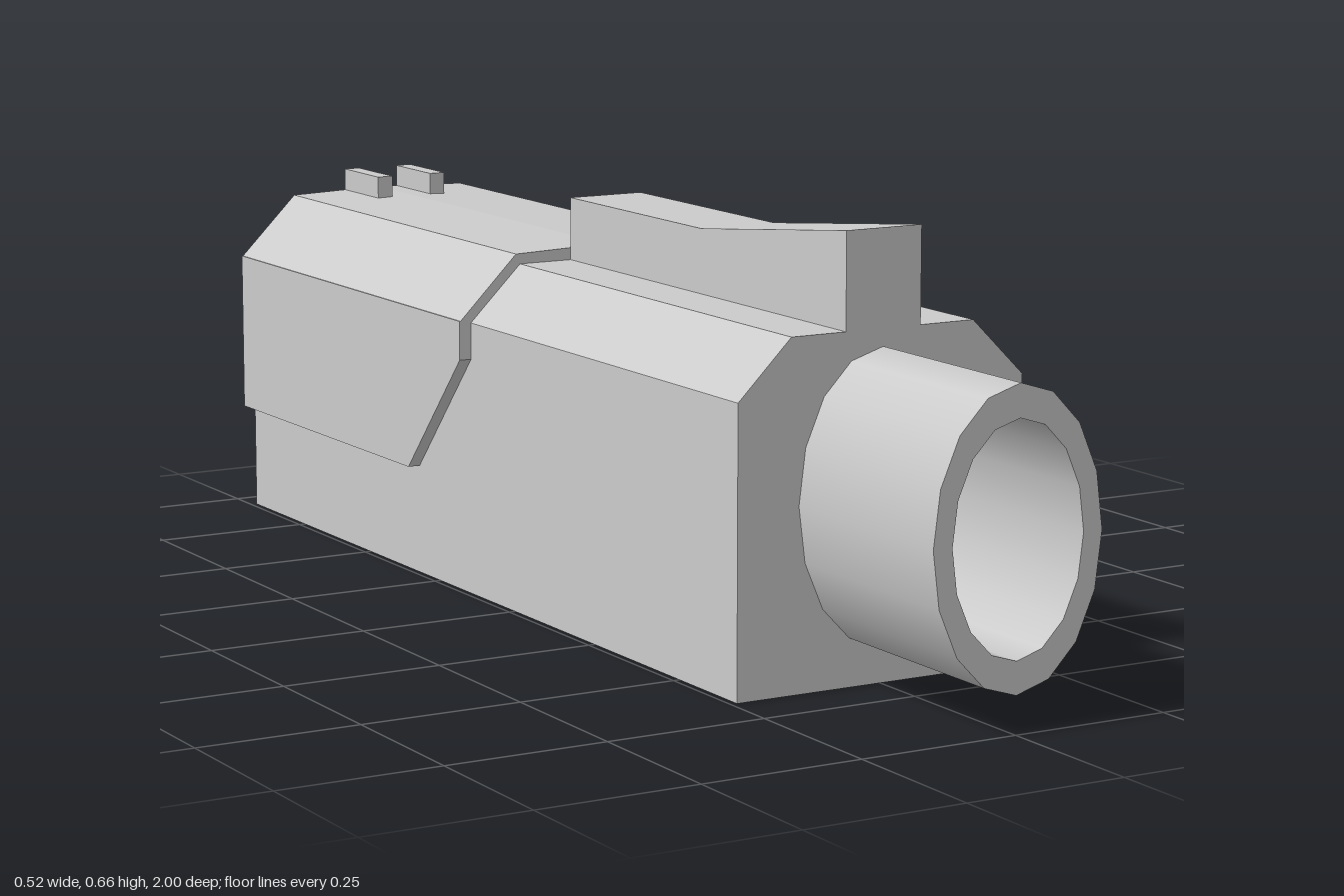
import * as THREE from 'three';

const material = new THREE.MeshStandardMaterial({ color: 0xcccccc, flatShading: true });
const smooth = new THREE.MeshStandardMaterial({ color: 0xcccccc });
const BACK = -0.943;

function addMesh(parent, name, geometry, mat = material) {
  const mesh = new THREE.Mesh(geometry, mat);
  mesh.name = name;
  parent.add(mesh);
  return mesh;
}

const shapeOf = (points) => new THREE.Shape(points.map(([x, y]) => new THREE.Vector2(x, y)));

// Extrudes an (x, y) outline from z0 to z1.
function extrudeZ(shape, z0, z1) {
  const geometry = new THREE.ExtrudeGeometry(shape, { depth: z1 - z0, bevelEnabled: false });
  return geometry.translate(0, 0, z0);
}

// Extrudes a (z, y) outline from x0 to x1.
function extrudeX(points, x0, x1) {
  const shape = shapeOf(points.map(([z, y]) => [-z, y]));
  const geometry = new THREE.ExtrudeGeometry(shape, { depth: x1 - x0, bevelEnabled: false });
  return geometry.rotateY(Math.PI / 2).translate(x0, 0, 0);
}

function box(x0, x1, y0, y1, z0, z1) {
  return new THREE.BoxGeometry(x1 - x0, y1 - y0, z1 - z0)
    .translate((x0 + x1) / 2, (y0 + y1) / 2, (z0 + z1) / 2);
}

// Mirrors a half outline (x > 0) into a full one.
const mirrored = (half) => [...half, ...half.map(([x, y]) => [-x, y]).reverse()];

export function createModel() {
  const model = new THREE.Group();
  model.name = 'model';

  // Main body with chamfered upper corners
  const bodyHalf = [[0.24, 0], [0.24, 0.43], [0.153, 0.516]];
  addMesh(model, 'body', extrudeZ(shapeOf(mirrored(bodyHalf)), BACK, 0.66));

  // Rear cover: roof shell resting on the body, slightly crowned
  const outer = [[0.258, 0.434], [0.16, 0.532], [0, 0.537], [-0.16, 0.532], [-0.258, 0.434]];
  const inner = [[-0.24, 0.43], [-0.153, 0.516], [0.153, 0.516], [0.24, 0.43]];
  addMesh(model, 'coverRoof', extrudeZ(shapeOf([...outer, ...inner]), BACK, -0.14));

  // Cover side panels with a slanted front lower corner
  const panel = [[BACK, 0.174], [-0.32, 0.174], [-0.14, 0.373], [-0.14, 0.434], [BACK, 0.434]];
  addMesh(model, 'leftCoverPanel', extrudeX(panel, 0.235, 0.26));
  addMesh(model, 'rightCoverPanel', extrudeX(panel, -0.26, -0.235));

  // Top rib, rising toward the front
  const rib = [[-0.14, 0.51], [0.66, 0.51], [0.66, 0.66], [0.26, 0.614], [-0.14, 0.614]];
  addMesh(model, 'topRib', extrudeX(rib, -0.063, 0.063));

  // Pair of rear sight rails
  for (const side of [1, -1]) {
    const rail = box(-0.0135, 0.0135, 0.525, 0.571, BACK, -0.815);
    const mesh = addMesh(model, side > 0 ? 'leftSightRail' : 'rightSightRail', rail);
    mesh.position.x = side * 0.0495;
  }

  // Vertical strip on the back
  addMesh(model, 'backStrip', box(-0.063, 0.063, 0, 0.518, -1, BACK));

  // Hollow oval barrel: round tube stretched in height
  const barrel = new THREE.Group();
  barrel.name = 'barrel';
  barrel.position.set(0, 0.273, 0.66);
  barrel.scale.set(0.139, 0.217, 1);
  model.add(barrel);
  const boreRadius = 0.777;
  const wall = (radius) => new THREE.CylinderGeometry(radius, radius, 0.34, 16, 1, true)
    .rotateX(Math.PI / 2).translate(0, 0, 0.17);
  addMesh(barrel, 'barrelOuterWall', wall(1), smooth);
  const bore = wall(boreRadius);
  bore.scale(-1, 1, 1);
  // Turn the bore faces inward
  const inside = smooth.clone();
  inside.side = THREE.DoubleSide;
  addMesh(barrel, 'barrelBore', bore, inside);
  const rim = new THREE.RingGeometry(boreRadius, 1, 16, 1).translate(0, 0, 0.34);
  addMesh(barrel, 'barrelRim', rim);

  return model;
}
